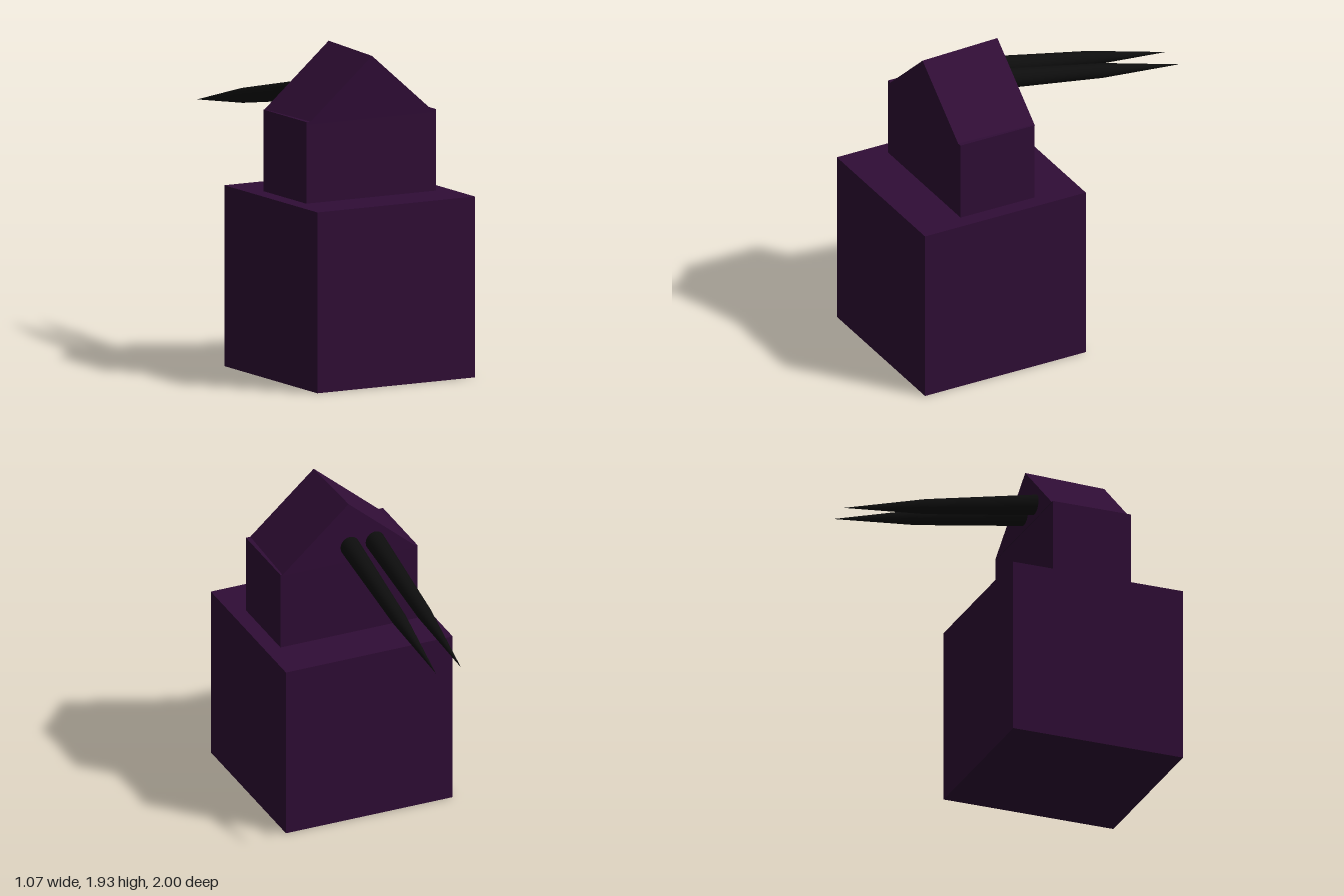
import * as THREE from 'three';

const purple = new THREE.MeshStandardMaterial({ color: 0x300d36 });
const black = new THREE.MeshStandardMaterial({ color: 0x0d0d0d });

function add(parent, name, geometry, material, x = 0, y = 0, z = 0) {
  const mesh = new THREE.Mesh(geometry, material);
  mesh.name = name;
  mesh.position.set(x, y, z);
  parent.add(mesh);
  return mesh;
}

// Tapered shaft with a long point, running along +y from the origin
function makeSpike(name) {
  const spike = new THREE.Group();
  spike.name = name;
  const shaft = 0.74, point = 0.53;
  add(spike, 'shaft', new THREE.CylinderGeometry(0.044, 0.061, shaft, 32), black, 0, shaft / 2);
  add(spike, 'point', new THREE.ConeGeometry(0.044, point, 32), black, 0, shaft + point / 2);
  return spike;
}

export function createModel() {
  const model = new THREE.Group();
  model.name = 'model';

  // Stacked blocks
  add(model, 'base', new THREE.BoxGeometry(1.07, 1.075, 1.075), purple, 0, 0.5375, 0.4625);
  add(model, 'upperBlock', new THREE.BoxGeometry(0.88, 0.485, 0.495), purple, 0, 1.3175, 0.4625);

  // Gabled roof, leaning slightly forward
  const gable = new THREE.Shape([
    new THREE.Vector2(-0.435, 0),
    new THREE.Vector2(0.435, 0),
    new THREE.Vector2(0, 0.377),
  ]);
  const roofGeometry = new THREE.ExtrudeGeometry(gable, { depth: 0.5, bevelEnabled: false });
  roofGeometry.translate(0, 0, -0.25);
  const roof = add(model, 'roof', roofGeometry, purple, 0, 1.547, 0.46);
  roof.rotation.x = 0.03;

  // Pair of spikes sloping down behind the roof
  const up = new THREE.Vector3(0, 1, 0);
  [['rightSpike', -0.166, -0.174, -1.0], ['leftSpike', -0.005, -0.012, -0.99]].forEach(([name, x0, x1, z1]) => {
    const start = new THREE.Vector3(x0, 1.658, 0.245);
    const direction = new THREE.Vector3(x1, 1.414, z1).sub(start).normalize();
    const spike = makeSpike(name);
    spike.position.copy(start);
    spike.quaternion.setFromUnitVectors(up, direction);
    model.add(spike);
  });

  return model;
}
